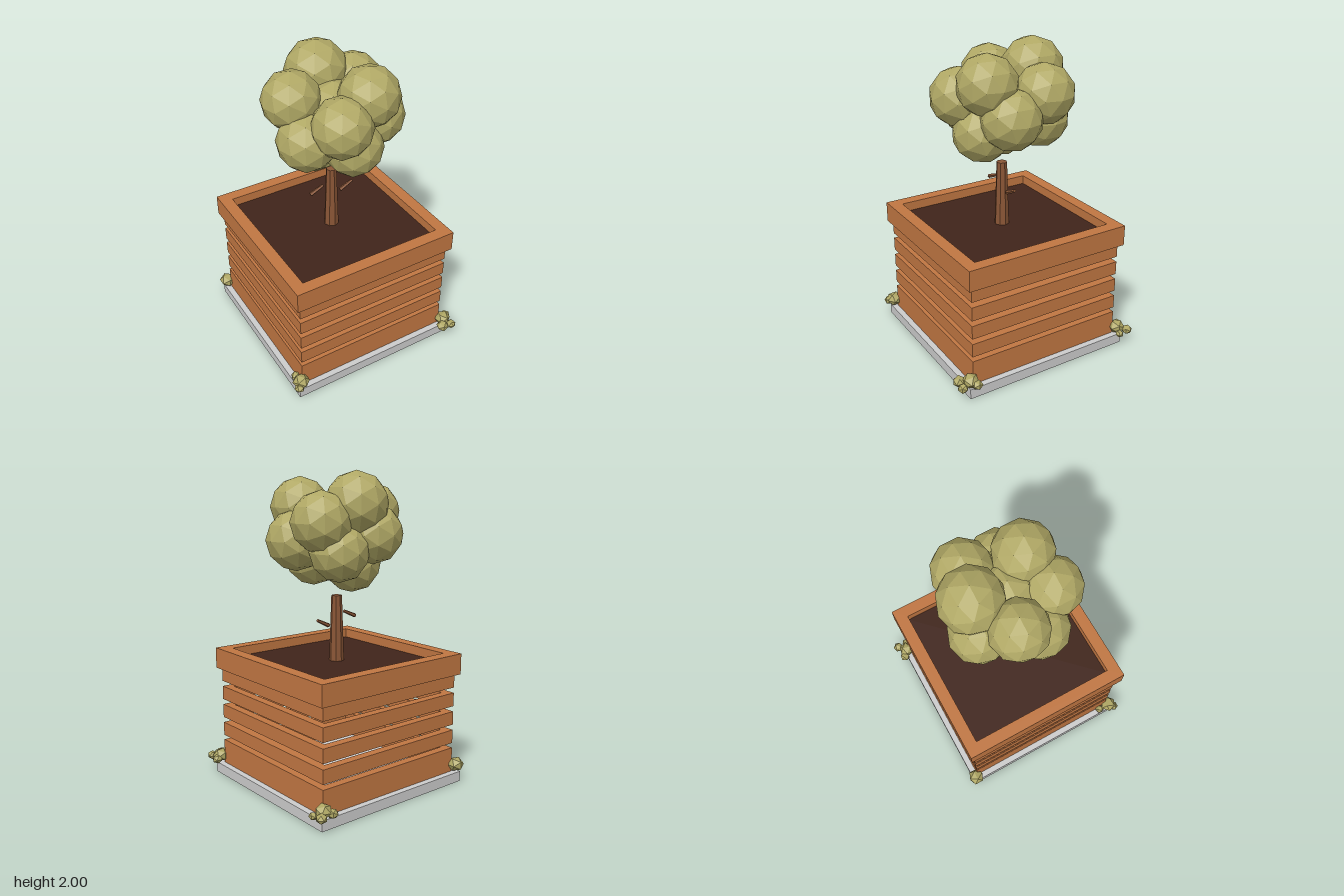
import * as THREE from 'three';

const material = (color) => new THREE.MeshStandardMaterial({ color, flatShading: true });

// Centre of the planter
const C = -0.012;

export function createModel() {
  const model = new THREE.Group();
  const wood = material(0xc07642);
  const soilMat = material(0x40241a);
  const bark = material(0x8a5636);
  const leaf = material(0xb0a865);
  const stone = new THREE.MeshStandardMaterial({ color: 0xcccccc, flatShading: true });

  const add = (name, geometry, mat, x = 0, y = 0, z = 0, parent = model) => {
    const mesh = new THREE.Mesh(geometry, mat);
    mesh.name = name;
    mesh.position.set(x, y, z);
    parent.add(mesh);
    return mesh;
  };

  const square = (Type, size) => {
    const h = size / 2;
    return new Type([[-h, -h], [h, -h], [h, h], [-h, h]].map(([x, y]) => new THREE.Vector2(x, y)));
  };

  // Hollow square frame between two heights
  const frame = (name, outer, wall, bottom, top) => {
    const shape = square(THREE.Shape, outer);
    shape.holes.push(square(THREE.Path, outer - 2 * wall));
    const geometry = new THREE.ExtrudeGeometry(shape, { depth: top - bottom, bevelEnabled: false });
    geometry.rotateX(-Math.PI / 2);
    return add(name, geometry, wood, C, bottom, C);
  };

  // Plinth, planter walls and soil
  add('basePlate', new THREE.BoxGeometry(1.15, 0.067, 1.15), stone, C, 0.0335, C);
  frame('bottomBoard', 1.07, 0.055, 0.067, 0.228);
  for (let i = 0; i < 4; i++) {
    const y = 0.261 + i * 0.125;
    frame('slat', 1.07, 0.055, y, y + 0.089);
  }
  frame('rim', 1.125, 0.08, 0.725, 0.86);
  add('soil', new THREE.BoxGeometry(0.966, 0.06, 0.966), soilMat, C, 0.77, C);

  // Trunk and two short branches
  add('trunk', new THREE.CylinderGeometry(0.034, 0.048, 0.423, 8), bark, C, 1.0115, C);
  const branch = (from, to) => {
    const a = new THREE.Vector3(...from), b = new THREE.Vector3(...to);
    const dir = b.clone().sub(a);
    const mesh = add('branch', new THREE.CylinderGeometry(0.010, 0.014, dir.length(), 5), bark);
    mesh.position.copy(a).add(b).multiplyScalar(0.5);
    mesh.quaternion.setFromUnitVectors(new THREE.Vector3(0, 1, 0), dir.normalize());
  };
  branch([-0.165, 1.073, C], [-0.073, 1.113, C]);
  branch([0.052, 1.034, C], [0.142, 1.077, C]);

  // Crown made of overlapping faceted balls: x, y, z, radius
  const crown = new THREE.Group();
  crown.name = 'crown';
  model.add(crown);
  [
    [0.005, 1.805, -0.22, 0.198],
    [0.13, 1.775, 0.175, 0.19],
    [-0.25, 1.745, -0.065, 0.183],
    [-0.09, 1.665, 0.24, 0.187],
    [0.225, 1.7, -0.16, 0.19],
    [0.235, 1.58, 0.075, 0.192],
    [-0.23, 1.54, 0.08, 0.188],
    [-0.115, 1.62, -0.24, 0.186],
    [0.038, 1.46, 0.16, 0.186],
    [-0.1, 1.425, -0.055, 0.185],
    [0.12, 1.52, -0.2, 0.185],
    [0, 1.63, 0, 0.2],
  ].forEach(([x, y, z, r]) => add('leafBall', new THREE.IcosahedronGeometry(r, 1), leaf, x, y, z, crown));

  // Small tufts at the corners of the plinth: x, z, radius
  const tufts = new THREE.Group();
  tufts.name = 'cornerTufts';
  model.add(tufts);
  [
    [-0.565, -0.565, 0.056],
    [0.54, -0.57, 0.054], [0.5, -0.605, 0.036], [0.59, -0.617, 0.036], [0.598, -0.55, 0.028],
    [0.54, 0.55, 0.054], [0.58, 0.525, 0.036], [0.5, 0.605, 0.042], [0.565, 0.615, 0.034],
    [-0.565, 0.54, 0.056], [-0.593, 0.57, 0.034], [-0.565, 0.47, 0.032],
  ].forEach(([x, z, r], i) => {
    const tuft = add('tuft', new THREE.IcosahedronGeometry(r, 0), leaf, x, 0.075 + 0.75 * r, z, tufts);
    tuft.scale.y = 0.85;
    tuft.rotation.y = i * 1.3;
  });

  return model;
}
